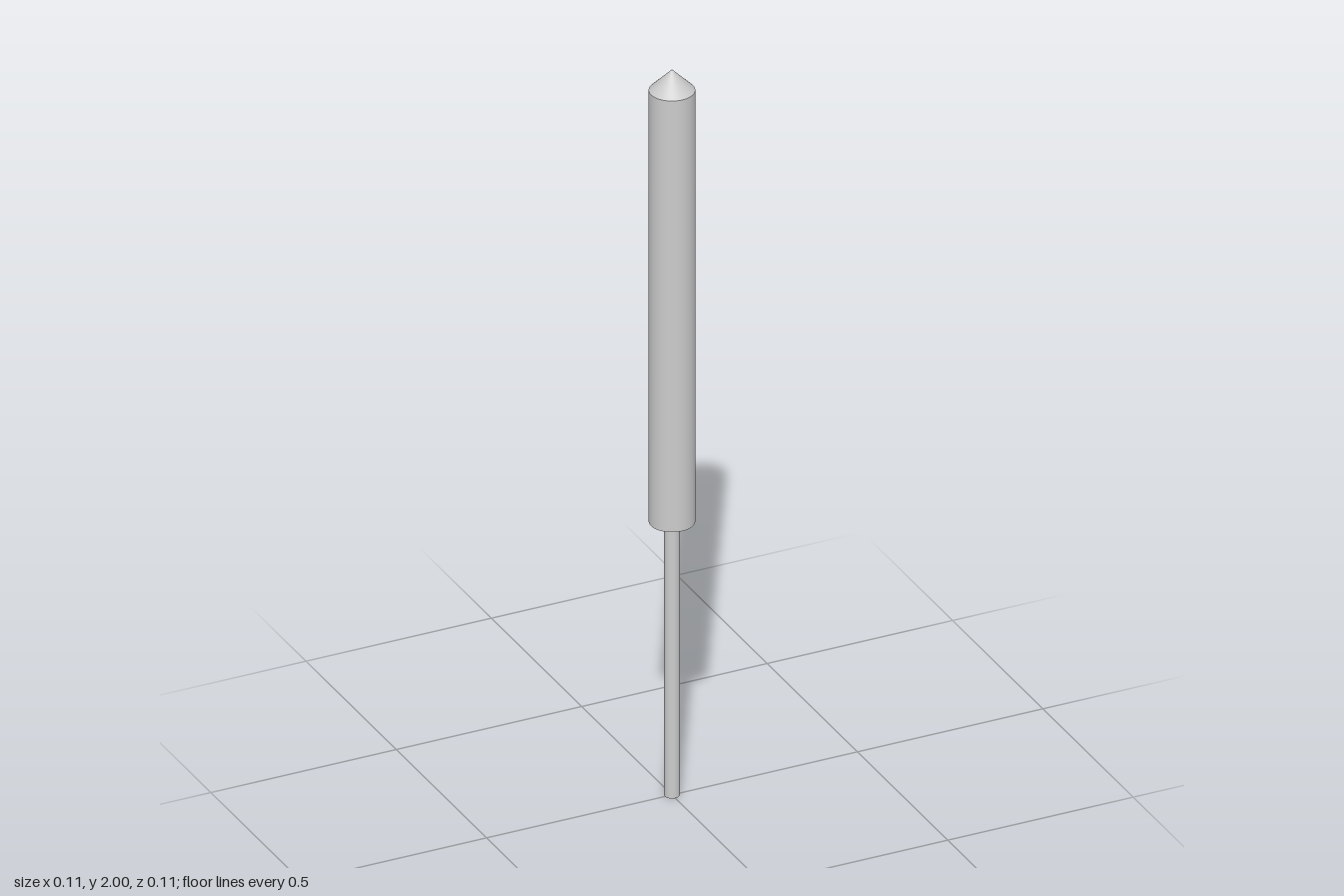
import * as THREE from 'three';

export function createModel() {
  const group = new THREE.Group();
  const material = new THREE.MeshStandardMaterial({ color: 0xcccccc });
  const sides = 64;
  const bodyRadius = 0.0566, rodRadius = 0.0189;
  const rodTop = 0.7547, bodyTop = 1.9434, tipTop = 2;

  const add = (name, geometry, y) => {
    const mesh = new THREE.Mesh(geometry, material);
    mesh.name = name;
    mesh.position.y = y;
    group.add(mesh);
  };

  // Thin rod the model stands on
  add('rod', new THREE.CylinderGeometry(rodRadius, rodRadius, rodTop, sides), rodTop / 2);

  // Thick cylindrical body
  add('body', new THREE.CylinderGeometry(bodyRadius, bodyRadius, bodyTop - rodTop, sides), (rodTop + bodyTop) / 2);

  // Pointed 45 degree tip, open where it meets the body
  add('tip', new THREE.ConeGeometry(bodyRadius, tipTop - bodyTop, sides, 1, true), (bodyTop + tipTop) / 2);

  return group;
}
